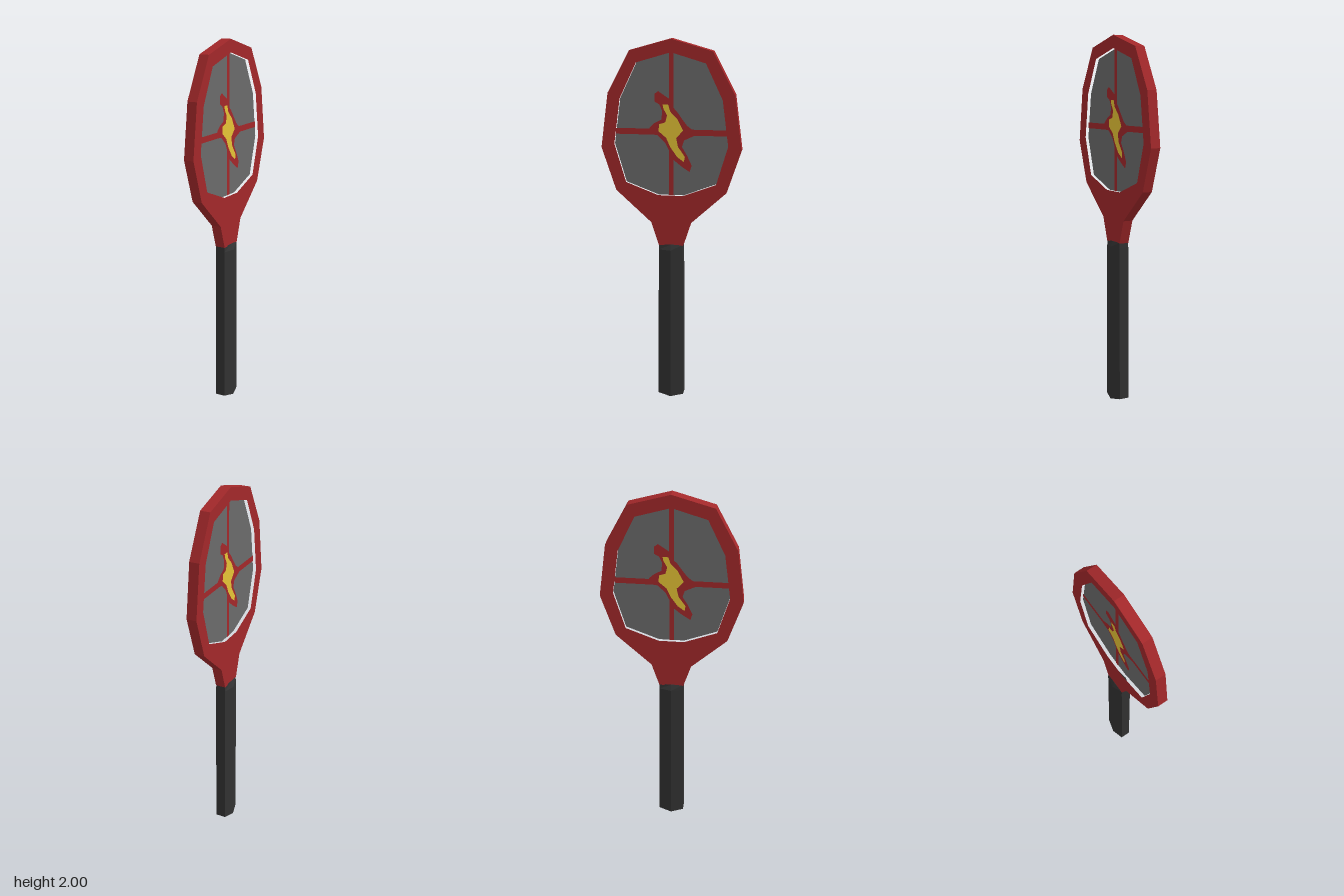
import * as THREE from 'three';

const mat = (name, color) => Object.assign(new THREE.MeshStandardMaterial({ color }), { name });

const toVectors = (pts) => pts.map(([x, y]) => new THREE.Vector2(x, y));

// closes a half outline (top to bottom) by mirroring it across x = 0
function mirrored(half) {
  const back = half.filter(([x]) => x !== 0).reverse().map(([x, y]) => [-x, y]);
  return toVectors([...half, ...back]);
}

// extrudes a side-on outline to a slab centred on x = 0
function slab(shape, thickness) {
  const g = new THREE.ExtrudeGeometry(shape, { depth: thickness, bevelEnabled: false });
  g.translate(0, 0, -thickness / 2);
  g.rotateY(Math.PI / 2);
  return g;
}

// six-sided grip lofted through rings of [edgeY, ridgeY, ridgeX, flatX, halfZ]
function gripGeometry(rings) {
  const loops = rings.map(([ey, ry, rx, fx, z]) => [
    [rx, ry, 0], [fx, ey, -z], [-fx, ey, -z], [-rx, ry, 0], [-fx, ey, z], [fx, ey, z],
  ]);
  const pos = [];
  const tri = (a, b, c) => pos.push(...a, ...b, ...c);
  for (let r = 0; r < loops.length - 1; r++) {
    const lo = loops[r], hi = loops[r + 1];
    for (let i = 0; i < 6; i++) {
      const j = (i + 1) % 6;
      tri(lo[i], lo[j], hi[j]);
      tri(lo[i], hi[j], hi[i]);
    }
  }
  // end caps, each folded along the ridge line
  const quad = (l, a, b, c, d) => { tri(l[a], l[b], l[c]); tri(l[a], l[c], l[d]); };
  const top = loops[loops.length - 1], bottom = loops[0];
  quad(top, 0, 1, 2, 3);
  quad(top, 0, 3, 4, 5);
  quad(bottom, 3, 2, 1, 0);
  quad(bottom, 5, 4, 3, 0);
  const g = new THREE.BufferGeometry();
  g.setAttribute('position', new THREE.Float32BufferAttribute(pos, 3));
  g.computeVertexNormals();
  return g;
}

export function createModel() {
  const red = mat('frameRed', 0xa3282a);
  const grey = mat('panelGrey', 0x6b6b6b);
  const yellow = mat('boltYellow', 0xe6c436);
  const black = mat('gripBlack', 0x323232);
  const model = new THREE.Group();
  model.name = 'racket';

  const add = (parent, name, geometry, material) => {
    const mesh = new THREE.Mesh(geometry, material);
    mesh.name = name;
    parent.add(mesh);
    return mesh;
  };

  // faceted frame with neck
  const inner = mirrored([
    [0, 1.93], [0.185, 1.875], [0.275, 1.685], [0.307, 1.44], [0.245, 1.232], [0.068, 1.165],
  ]);
  const outline = new THREE.Shape(mirrored([
    [0, 2], [0.222, 1.937], [0.34, 1.713], [0.378, 1.42], [0.3, 1.187], [0.108, 1.013], [0.066, 0.885],
  ]));
  outline.holes.push(new THREE.Path(inner));
  add(model, 'frame', slab(outline, 0.056), red);

  // recessed panel inside the frame
  add(model, 'panel', slab(new THREE.Shape(inner), 0.02), grey);

  // grip
  add(model, 'grip', gripGeometry([
    [0.012, 0, 0.046, 0.028, 0.07],
    [0.58, 0.58, 0.046, 0.028, 0.068],
    [0.86, 0.86, 0.046, 0.028, 0.066],
    [0.89, 0.89, 0.03, 0.026, 0.065],
  ]), black);

  // painted cross and bolt, the same on both faces
  const bar = (x0, y0, x1, y1) => [[x0, y0], [x1, y0], [x1, y1], [x0, y1]];
  const boltEdge = [
    [-0.09, 1.71], [-0.07, 1.725], [-0.01, 1.685], [0.005, 1.645], [0.03, 1.62], [0.058, 1.58],
    [0.085, 1.545], [0.111, 1.525], [0.132, 1.52], [0.132, 1.495], [0.1, 1.48], [0.069, 1.465],
    [0.058, 1.43], [0.085, 1.385], [0.111, 1.33], [0.1, 1.295], [0.058, 1.322], [0.01, 1.36],
    [-0.01, 1.405], [-0.032, 1.45], [-0.074, 1.49], [-0.117, 1.495], [-0.117, 1.53],
    [-0.09, 1.555], [-0.053, 1.575], [-0.048, 1.62], [-0.064, 1.655], [-0.09, 1.67],
  ];
  const bolt = [
    [-0.046, 1.655], [-0.016, 1.655], [-0.005, 1.618], [0.032, 1.58], [0.064, 1.518],
    [0.027, 1.477], [0.037, 1.43], [0.074, 1.377], [0.069, 1.348], [0.032, 1.375],
    [-0.005, 1.428], [-0.027, 1.477], [-0.069, 1.512], [-0.064, 1.55], [-0.032, 1.56],
    [-0.022, 1.597], [-0.042, 1.634],
  ];
  const decals = [
    ['verticalStripe', bar(-0.012, 1.165, 0.012, 1.93), 0.012, red],
    ['horizontalStripe', bar(-0.3, 1.492, 0.3, 1.524), 0.012, red],
    ['boltOutline', boltEdge, 0.0135, red],
    ['bolt', bolt, 0.0155, yellow],
  ];
  for (const side of [1, -1]) {
    const face = new THREE.Group();
    face.name = side > 0 ? 'leftFacePaint' : 'rightFacePaint';
    face.rotation.y = side * Math.PI / 2;
    for (const [name, pts, lift, material] of decals) {
      add(face, name, new THREE.ShapeGeometry(new THREE.Shape(toVectors(pts))), material).position.z = lift;
    }
    model.add(face);
  }
  return model;
}
